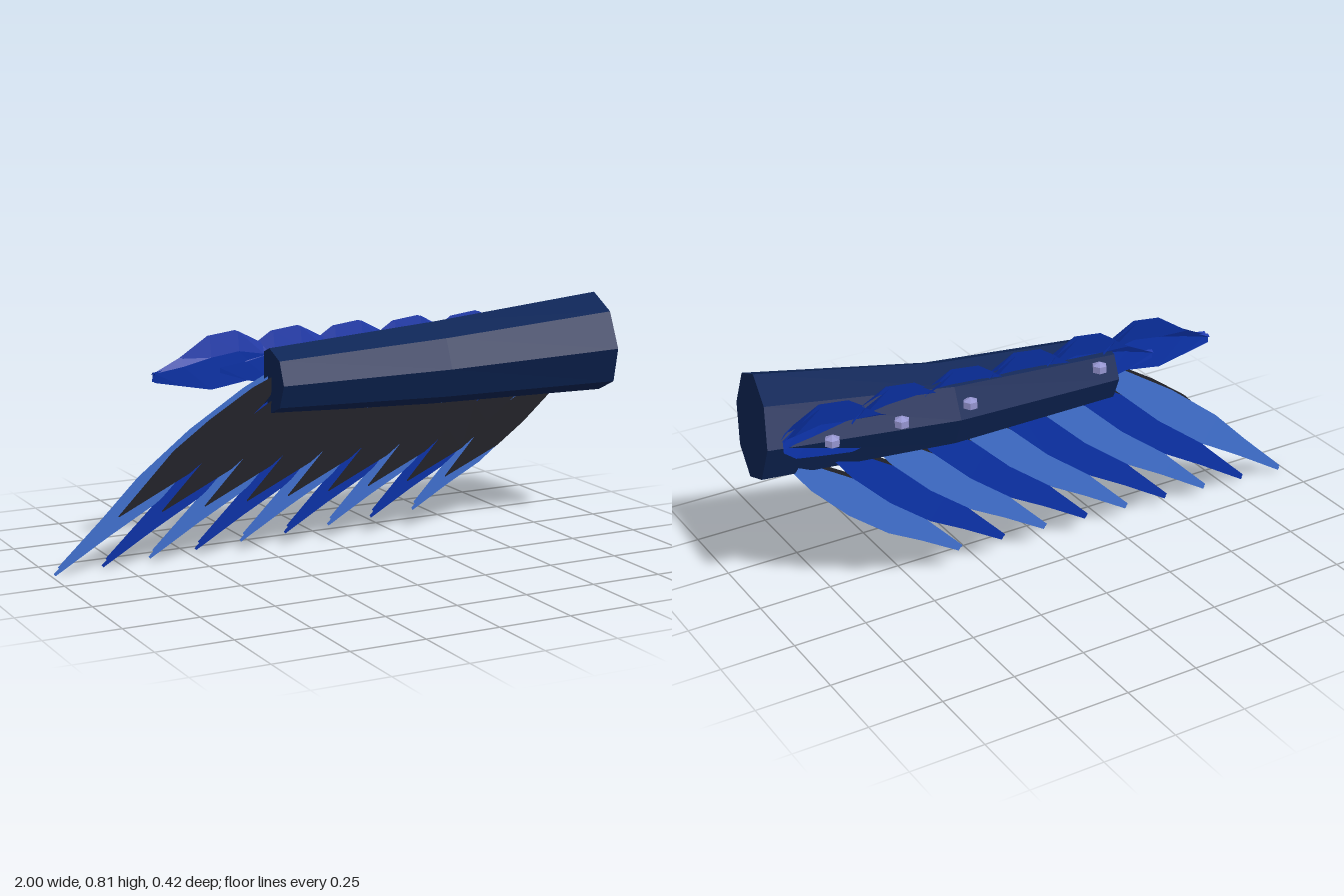
import * as THREE from 'three';

const mat = (name, color, open) => {
  const m = new THREE.MeshStandardMaterial({ color });
  m.name = name;
  if (open) m.side = THREE.DoubleSide;
  return m;
};

// Faceted surface through rows of points
function loft(rows, caps = false) {
  const pos = [];
  const tri = (...p) => p.forEach((v) => pos.push(...v));
  for (let i = 0; i < rows.length - 1; i++) {
    for (let k = 0; k < rows[i].length - 1; k++) {
      const a = rows[i][k], b = rows[i][k + 1], c = rows[i + 1][k + 1], d = rows[i + 1][k];
      tri(a, b, c);
      tri(a, c, d);
    }
  }
  if (caps) {
    const first = rows[0], last = rows[rows.length - 1];
    for (let k = 1; k < first.length - 2; k++) {
      tri(first[0], first[k + 1], first[k]);
      tri(last[0], last[k], last[k + 1]);
    }
  }
  const geo = new THREE.BufferGeometry();
  geo.setAttribute('position', new THREE.Float32BufferAttribute(pos, 3));
  geo.computeVertexNormals();
  return geo;
}

// Flat feather from root to tip; z follows height so the sheet leans about the x axis
function feather(root, tip, profile, zAt) {
  const dx = tip[0] - root[0], dy = tip[1] - root[1];
  const len = Math.hypot(dx, dy);
  const nx = dy / len, ny = -dx / len;
  return loft(profile.map(([t, w]) => [1, -1].map((s) => {
    const x = root[0] + dx * t + nx * w * s;
    const y = root[1] + dy * t + ny * w * s;
    return [x, y, zAt(y)];
  })));
}

export function createModel() {
  const navy = mat('navy', 0x0d2556);
  const lightBlue = mat('lightBlue', 0x4070cf, true);
  const blue = mat('blue', 0x0b32a8, true);
  const black = mat('black', 0x222229, true);
  const lilac = mat('lilac', 0x9494cf);

  const model = new THREE.Group();
  const add = (name, geo, material, parent = model) => {
    const mesh = new THREE.Mesh(geo, material);
    mesh.name = name;
    parent.add(mesh);
    return mesh;
  };
  const group = (name) => {
    const g = new THREE.Group();
    g.name = name;
    model.add(g);
    return g;
  };

  // Eight-sided arm, bent in the middle: x, y, z, radius, end tilt
  const rings = [
    [-0.24, 0.58, -0.08, 0.11, 0],
    [0.36, 0.595, -0.055, 0.142, 0],
    [0.972, 0.638, 0.037, 0.174, 1],
  ].map(([x, y, z, r, tilt]) => Array.from({ length: 9 }, (_, k) => {
    const a = (k / 8) * Math.PI * 2;
    const dy = r * Math.cos(a), dz = r * Math.sin(a);
    return [x - tilt * (0.09 * dy + 0.16 * dz), y + dy, z + dz];
  }));
  add('arm', loft(rings, true), navy);

  // Long flight feathers in two sheets, with short dark feathers in front
  const flight = group('flightFeathers');
  const under = group('darkFeathers');
  const longProfile = [[0, 0.012], [0.12, 0.035], [0.36, 0.055], [0.6, 0.052], [0.78, 0.028], [1, 0.005]];
  const shortProfile = [[0, 0.012], [0.15, 0.036], [0.4, 0.05], [0.62, 0.05], [1, 0.002]];
  for (let i = 0; i < 9; i++) {
    const t = i / 8;
    const root = [-0.2 + 1.1 * t, 0.6 - 0.07 * t];
    const tip = [-0.99 + 1.307 * t, 0.003 + 0.07 * t];
    const colour = i % 2 ? blue : lightBlue;
    const dz = i * 0.001;
    add('featherFront', feather(root, tip, longProfile, (y) => -0.12 + 0.045 * y + dz), colour, flight);
    const backTip = [tip[0] + 0.025, tip[1] + 0.012];
    add('featherBack', feather(root, backTip, longProfile, (y) => -0.15 + 0.045 * y + dz), colour, flight);
    const shortTip = [-0.78 + 1.21 * t, 0.18 + 0.005 * t];
    add('darkFeather', feather(root, shortTip, shortProfile, (y) => -0.092 + 0.045 * y + dz), black, under);
  }

  // Short folded feathers along the upper back: x from tip, bottom, top
  const coverts = group('shortFeathers');
  const outline = [
    [0, 0.6, 0.622], [0.1, 0.58, 0.67], [0.2, 0.56, 0.735],
    [0.3, 0.575, 0.747], [0.39, 0.59, 0.7], [0.43, 0.62, 0.66],
  ];
  for (let i = 0; i < 6; i++) {
    for (const z of [-0.125, -0.145]) {
      const rows = outline.map(([x, lo, hi]) => {
        const px = -0.63 + 0.23 * i + x;
        return [[px, hi, z - 0.008], [px, (lo + hi) / 2 + 0.02, z + 0.004], [px, lo, z]];
      });
      add('shortFeather', loft(rows), blue, coverts);
    }
  }

  // Small faceted studs on the back
  const studs = group('studs');
  const studGeo = new THREE.SphereGeometry(0.025, 6, 3).toNonIndexed();
  studGeo.scale(1.15, 0.9, 1.15);
  studGeo.computeVertexNormals();
  for (const x of [-0.165, 0.32, 0.565, 0.805]) {
    add('stud', studGeo, lilac, studs).position.set(x, 0.639, -0.185);
  }

  return model;
}
